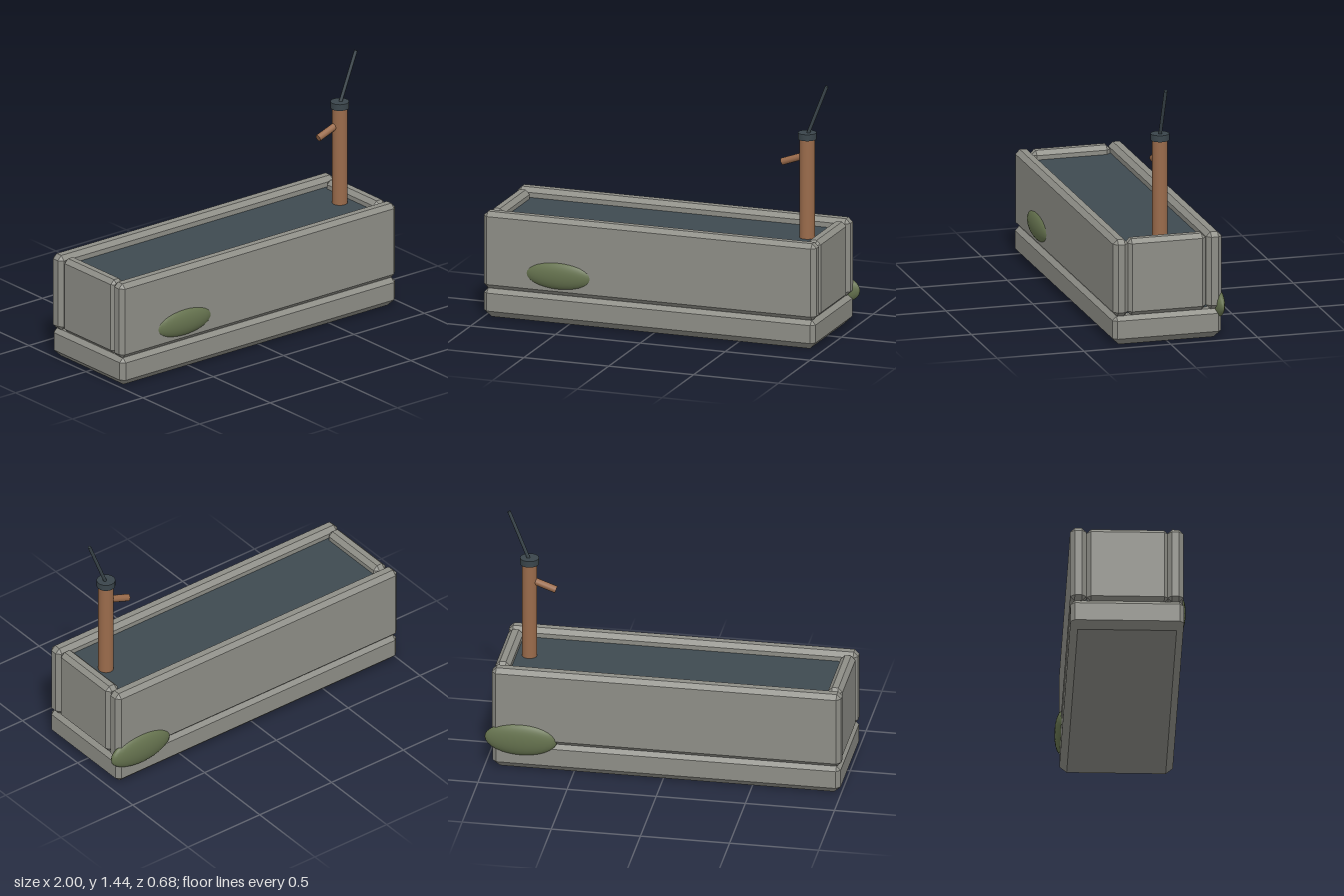
import * as THREE from 'three';
import { ConvexGeometry } from 'three/addons/geometries/ConvexGeometry.js';

// Box between two corners with every edge chamfered; the lower chamfer can differ
function chamferBox(min, max, c, low = c) {
  const mid = min.map((v, i) => (v + max[i]) / 2);
  const half = max.map((v, i) => (v - min[i]) / 2);
  const pts = [];
  for (const sx of [-1, 1]) for (const sy of [-1, 1]) for (const sz of [-1, 1]) {
    const k = sy < 0 ? low : c;
    const s = [sx, sy, sz];
    for (let axis = 0; axis < 3; axis++) {
      // this corner touches the full extent on one axis only
      const p = s.map((sign, i) => {
        const inset = i === axis ? 0 : (i === 1 || axis === 1 ? k : c);
        return mid[i] + sign * (half[i] - inset);
      });
      pts.push(new THREE.Vector3(...p));
    }
  }
  return new ConvexGeometry(pts);
}

// Cylinder running from point a to point b
function rod(a, b, r, sides) {
  const va = new THREE.Vector3(...a), vb = new THREE.Vector3(...b);
  const dir = vb.clone().sub(va);
  const g = new THREE.CylinderGeometry(r, r, dir.length(), sides);
  g.applyQuaternion(new THREE.Quaternion().setFromUnitVectors(
    new THREE.Vector3(0, 1, 0), dir.clone().normalize()));
  const m = va.add(vb).multiplyScalar(0.5);
  return g.translate(m.x, m.y, m.z);
}

function createModel() {
  const group = new THREE.Group();
  const mat = (name, color) => {
    const m = new THREE.MeshStandardMaterial({ color });
    m.name = name;
    return m;
  };
  const stone = mat('stone', 0x8e8e87);
  const copper = mat('copper', 0x9a6b4b);
  const iron = mat('iron', 0x3a454b);
  const water = mat('water', 0x3e4a51);
  const moss = mat('moss', 0x66734f);

  const add = (name, geometry, material) => {
    const mesh = new THREE.Mesh(geometry, material);
    mesh.name = name;
    group.add(mesh);
    return mesh;
  };

  // Stone trough: plinth, two long walls, two end walls
  add('base', chamferBox([-0.997, 0, -0.31], [0.957, 0.167, 0.317], 0.024, 0.04), stone);
  add('frontWall', chamferBox([-1, 0.166, 0.226], [0.96, 0.606, 0.314], 0.025), stone);
  add('backWall', chamferBox([-1, 0.166, -0.312], [0.96, 0.608, -0.222], 0.025), stone);
  add('leftEndWall', chamferBox([0.872, 0.166, -0.22], [0.955, 0.604, 0.232], 0.024), stone);
  add('rightEndWall', chamferBox([-0.992, 0.166, -0.22], [-0.91, 0.604, 0.232], 0.024), stone);

  // Water filling the trough
  const fill = new THREE.BoxGeometry(1.82, 0.39, 0.49);
  fill.translate(-0.02, 0.36, 0.003);
  add('water', fill, water);

  // Hand pump
  add('pumpPipe', rod([0.8, 0.5, 0.004], [0.8, 1.13, 0.004], 0.043, 20), copper);
  add('pumpSpout', rod([0.8, 1.028, 0], [0.65, 0.974, 0], 0.02, 12), copper);
  add('pumpCollar', rod([0.8, 1.12, 0.004], [0.8, 1.157, 0.004], 0.052, 20), iron);
  add('pumpHandle', rod([0.8, 1.14, 0.004], [0.915, 1.432, 0.004], 0.01, 8), iron);

  // Moss patches: flattened ellipsoids on the stone
  const patches = [
    ['frontMoss', [-0.553, 0.28, 0.3], [0.2, 0.08, 0.04]],
    ['backMoss', [0.795, 0.187, -0.301], [0.203, 0.096, 0.041]],
  ];
  for (const [name, pos, size] of patches) {
    const g = new THREE.SphereGeometry(1, 24, 16);
    g.scale(...size).translate(...pos);
    add(name, g, moss);
  }
  return group;
}

export { createModel };
